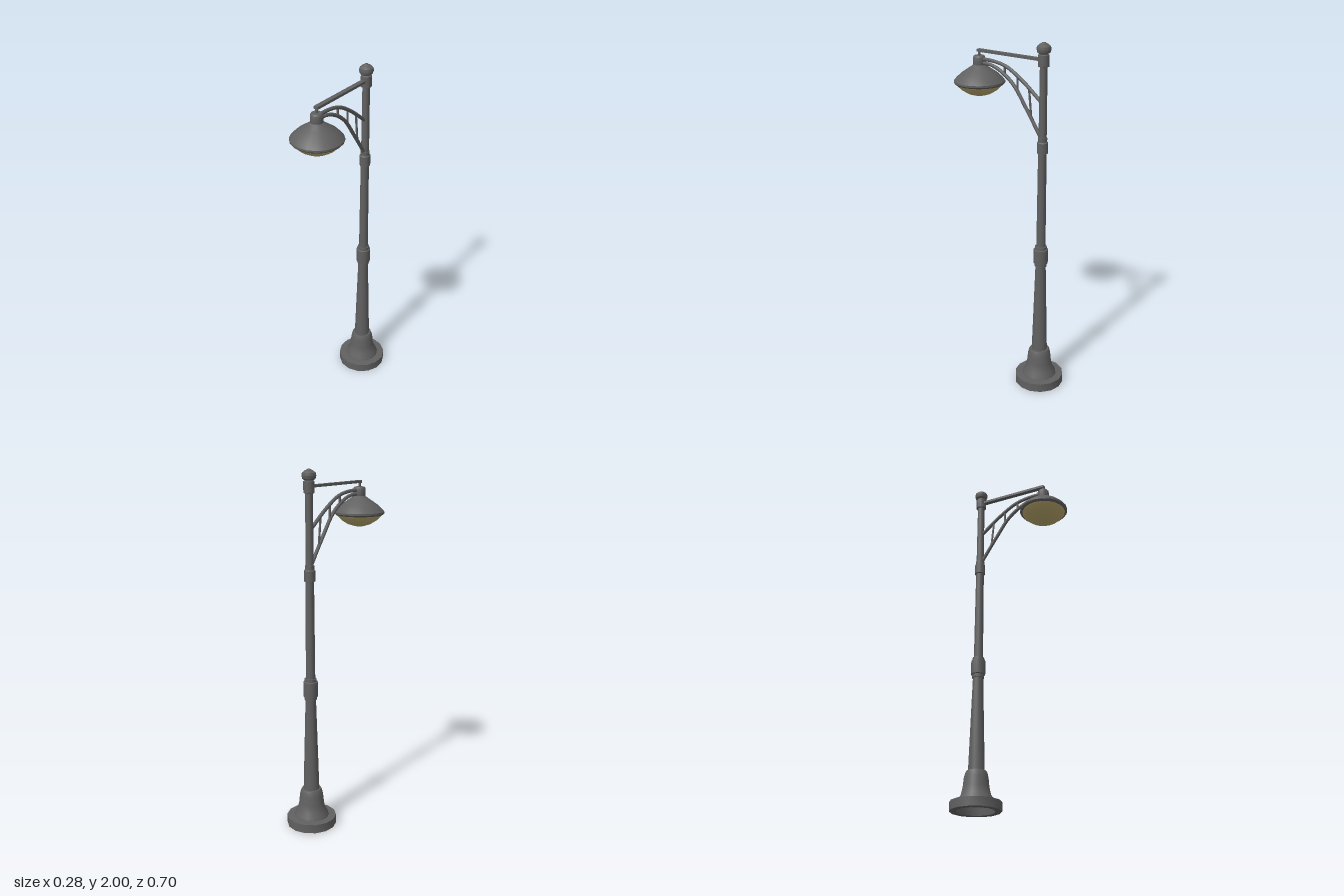
import * as THREE from 'three';
import { toCreasedNormals } from 'three/addons/utils/BufferGeometryUtils.js';

const POST_Z = -0.21, LAMP_Z = 0.21;

export function createModel() {
  const root = new THREE.Group();
  root.name = 'streetLamp';
  const iron = new THREE.MeshStandardMaterial({ color: 0x606060 });
  iron.name = 'dark grey iron';
  const glass = new THREE.MeshStandardMaterial({ color: 0xb5a46a });
  glass.name = 'warm yellow glass';

  const add = (name, geometry, material = iron) => {
    const mesh = new THREE.Mesh(geometry, material);
    mesh.name = name;
    root.add(mesh);
    return mesh;
  };
  // Turned part: [radius, height] pairs running upward along the outside
  const turned = (name, profile, z, sides = 14, material = iron) => {
    const points = profile.map(([r, y]) => new THREE.Vector2(r, y));
    const mesh = add(name, toCreasedNormals(new THREE.LatheGeometry(points, sides), 0.6), material);
    mesh.position.z = z;
  };
  // Round bar along a curve in the x = 0 plane, given as [z, y] pairs
  const curveOf = (pairs) => new THREE.CatmullRomCurve3(pairs.map(([z, y]) => new THREE.Vector3(0, y, z)));
  const bar = (name, curve, radius, steps) => add(name, new THREE.TubeGeometry(curve, steps, radius, 8));

  // Hollow foot with a bell above it
  turned('footRing', [[0.1, 0.045], [0.105, 0], [0.14, 0], [0.14, 0.05], [0.095, 0.052]], POST_Z);
  turned('bellInside', [[0, 0.2], [0.05, 0.2], [0.065, 0.12], [0.1, 0.045]], POST_Z);
  turned('bell', [[0.1, 0.05], [0.096, 0.065], [0.08, 0.09], [0.071, 0.13], [0.066, 0.18],
    [0.06, 0.205], [0.055, 0.215], [0.04, 0.215]], POST_Z);

  // Post sections and collars
  turned('lowerPost', [[0.045, 0.21], [0.029, 0.755]], POST_Z);
  turned('lowerCollar', [[0.027, 0.748], [0.034, 0.75], [0.034, 0.768], [0.04, 0.77], [0.041, 0.81],
    [0.04, 0.853], [0.034, 0.856], [0.033, 0.872], [0.022, 0.873]], POST_Z);
  turned('middlePost', [[0.026, 0.86], [0.023, 1.42]], POST_Z);
  turned('middleCollar', [[0.02, 1.412], [0.03, 1.415], [0.03, 1.473], [0.025, 1.478],
    [0.025, 1.5], [0.018, 1.502]], POST_Z);
  turned('upperPost', [[0.022, 1.49], [0.02, 1.89]], POST_Z);
  turned('topCollar', [[0.018, 1.875], [0.029, 1.878], [0.03, 1.91], [0.029, 1.938],
    [0.023, 1.942], [0.023, 1.95]], POST_Z);
  turned('finial', [[0.022, 1.942], [0.034, 1.95], [0.039, 1.966], [0.036, 1.981],
    [0.022, 1.993], [0.014, 1.996], [0.011, 2], [0, 2]], POST_Z);

  // Straight tie bar with its drop to the lamp
  const tie = add('tieBar', new THREE.BoxGeometry(0.026, 0.014, 0.41));
  tie.position.set(0, 1.912, 0.012);
  const drop = add('tieDrop', new THREE.CylinderGeometry(0.007, 0.007, 0.04, 8));
  drop.position.set(0, 1.893, LAMP_Z);

  // Curved arms joined by struts
  const upper = curveOf([[0.2, 1.866], [0.12, 1.865], [0.03, 1.847], [-0.07, 1.79], [-0.2, 1.688]]);
  const lower = curveOf([[0.2, 1.845], [0.13, 1.842], [0.06, 1.815], [-0.02, 1.755], [-0.1, 1.645], [-0.2, 1.495]]);
  bar('upperArm', upper, 0.01, 28);
  bar('lowerArm', lower, 0.01, 28);
  for (const [a, b] of [[[0.04, 1.85], [0.037, 1.803]], [[-0.045, 1.805], [-0.045, 1.73]],
    [[-0.12, 1.75], [-0.135, 1.6]]]) {
    bar('armStrut', new THREE.LineCurve3(new THREE.Vector3(0, a[1], a[0]), new THREE.Vector3(0, b[1], b[0])), 0.006, 1);
  }

  // Lamp head
  turned('lampNeck', [[0, 1.832], [0.032, 1.832], [0.034, 1.845], [0.033, 1.876], [0.027, 1.884], [0, 1.885]], LAMP_Z, 14);
  turned('shade', [[0.122, 1.729], [0.132, 1.73], [0.14, 1.738], [0.14, 1.748], [0.128, 1.762],
    [0.105, 1.784], [0.07, 1.808], [0.046, 1.824], [0.03, 1.837], [0, 1.838]], LAMP_Z, 20);
  turned('glassBowl', [[0, 1.665], [0.03, 1.668], [0.065, 1.679], [0.098, 1.699], [0.122, 1.722],
    [0.128, 1.732]], LAMP_Z, 20, glass);

  return root;
}
